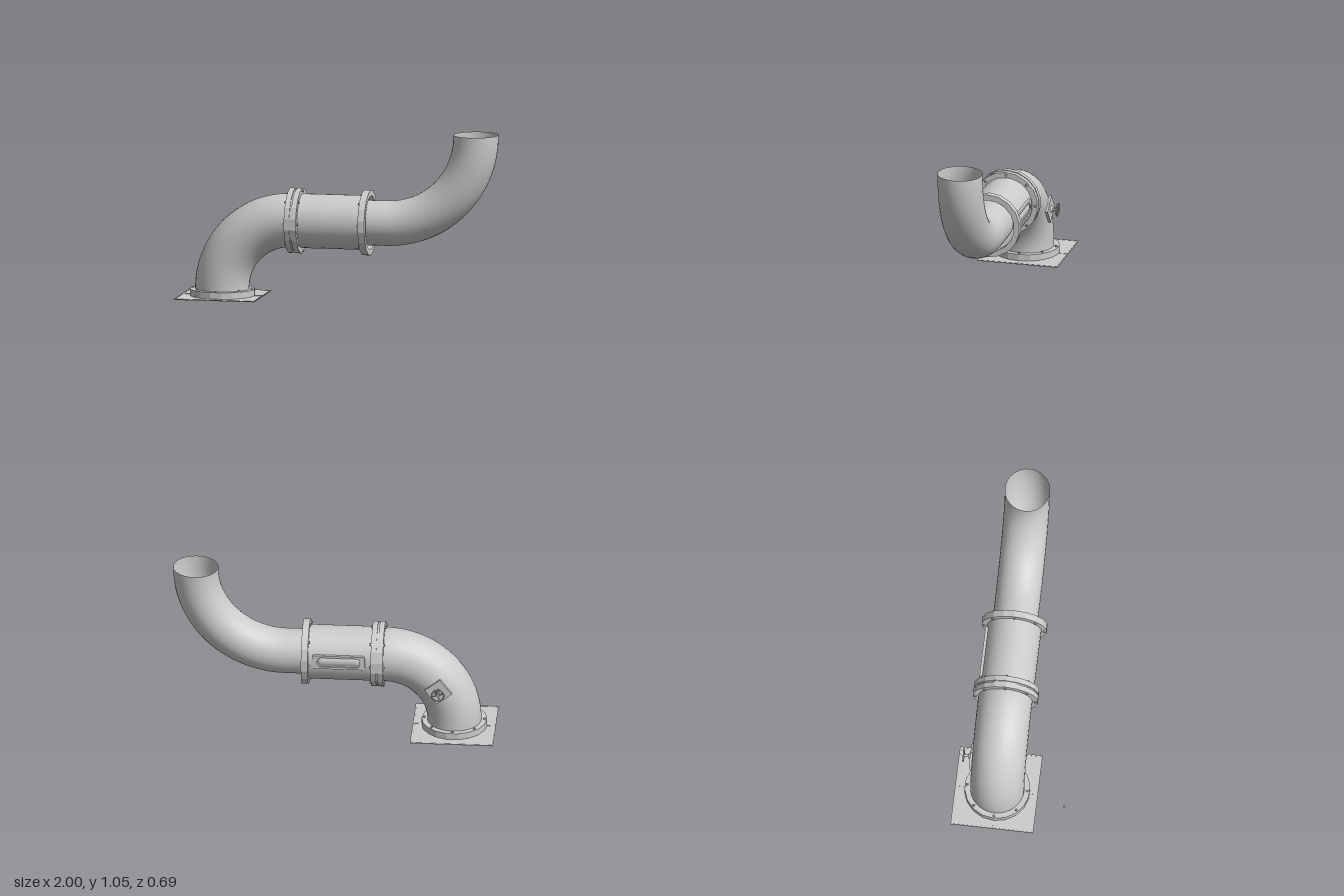
import * as THREE from 'three';

const Z = -0.087;              // depth of the pipe axis
const AXIS_Y = 0.482;          // height of the horizontal run
const BASE_X = -0.743;         // centre of the base
const smooth = new THREE.MeshStandardMaterial({ color: 0xcccccc, side: THREE.DoubleSide });
const flat = new THREE.MeshStandardMaterial({ color: 0xcccccc, flatShading: true });

function add(parent, name, geometry, material, x = 0, y = 0, z = 0) {
  const mesh = new THREE.Mesh(geometry, material);
  mesh.name = name;
  mesh.position.set(x, y, z);
  parent.add(mesh);
  return mesh;
}

// Open straight pipe running along +y from its origin
function straight(radius, length) {
  return new THREE.CylinderGeometry(radius, radius, length, 32, 1, true).translate(0, length / 2, 0);
}

function bend(parent, name, bendRadius, radius, x, y, turn) {
  const geometry = new THREE.TorusGeometry(bendRadius, radius, 32, 28, Math.PI / 2);
  add(parent, name, geometry, smooth, x, y, Z).rotation.z = turn;
}

// Ring of rectangular section with eight bolts, built along +y
function flange(name, outer, inner, height, boltSides) {
  const group = new THREE.Group();
  group.name = name;
  const profile = [[inner, 0], [outer, 0], [outer, height], [inner, height], [inner, 0]]
    .map(([r, y]) => new THREE.Vector2(r, y));
  add(group, 'flangeRing', new THREE.LatheGeometry(profile, 18, Math.PI / 2), flat);
  for (let i = 0; i < 8; i++) {
    const a = i * Math.PI / 4;
    for (const side of boltSides) {
      const y = side > 0 ? height + 0.004 : -0.004;
      add(group, 'bolt', boltGeometry(side), flat, 0.187 * Math.cos(a), y, 0.187 * Math.sin(a));
    }
  }
  return group;
}

// Hexagonal head, narrower at its outer end
function boltGeometry(side) {
  return new THREE.CylinderGeometry(side > 0 ? 0.006 : 0.009, side > 0 ? 0.009 : 0.006, 0.011, 6);
}

function roundedRect(w, h, r) {
  const s = new THREE.Shape();
  s.absarc(w / 2 - r, h / 2 - r, r, 0, Math.PI / 2);
  s.absarc(r - w / 2, h / 2 - r, r, Math.PI / 2, Math.PI);
  s.absarc(r - w / 2, r - h / 2, r, Math.PI, Math.PI * 1.5);
  s.absarc(w / 2 - r, r - h / 2, r, Math.PI * 1.5, Math.PI * 2);
  s.closePath();
  return s;
}

function buildBase(model) {
  const base = new THREE.Group();
  base.name = 'base';
  base.position.set(BASE_X, 0, Z);
  model.add(base);

  // Floor plate with a round opening
  const shape = roundedRect(0.514, 0.514, 0.002);
  shape.holes.push(new THREE.Path().absarc(0, 0, 0.197, 0, Math.PI * 2, true));
  const plate = new THREE.ExtrudeGeometry(shape, { depth: 0.004, bevelEnabled: false, curveSegments: 18 });
  add(base, 'floorPlate', plate.rotateX(-Math.PI / 2), flat, 0, 0, -0.005);

  // Raised seams from the flange to the plate edges, and a rim
  for (let i = 0; i < 4; i++) {
    const arm = new THREE.Group();
    arm.name = 'plateTrim';
    arm.position.z = -0.005;
    arm.rotation.y = i * Math.PI / 2;
    add(arm, 'seam', new THREE.BoxGeometry(0.052, 0.002, 0.008), flat, 0.226, 0.005, 0);
    add(arm, 'rim', new THREE.BoxGeometry(0.006, 0.002, 0.5), flat, 0.25, 0.0045, 0);
    base.add(arm);
  }
  base.add(flange('baseFlange', 0.203, 0.168, 0.045, [1]));
  add(base, 'riser', straight(0.168, 0.052), smooth);
}

function buildValve(model) {
  const valve = new THREE.Group();
  valve.name = 'valve';
  valve.position.set(-0.655, 0.32, Z - 0.168);
  valve.rotation.set(0, Math.PI, 0);   // local +z points out of the back
  model.add(valve);
  add(valve, 'valvePlate', new THREE.BoxGeometry(0.12, 0.12, 0.016), flat, 0, 0, 0.002).rotation.z = 0.67;
  const rod = (r1, r2, len) => new THREE.CylinderGeometry(r1, r2, len, 12).rotateX(Math.PI / 2);
  add(valve, 'valveCollar', rod(0.014, 0.024, 0.014), smooth, 0, 0, 0.016);
  add(valve, 'valveStem', rod(0.007, 0.007, 0.05), smooth, 0, 0, 0.03);
  add(valve, 'valveHub', rod(0.011, 0.011, 0.012), smooth, 0, 0, 0.046);
  add(valve, 'handwheel', new THREE.TorusGeometry(0.038, 0.0045, 8, 20), smooth, 0, 0, 0.052);
  for (let i = 0; i < 4; i++) {
    const spoke = add(valve, 'spoke', new THREE.BoxGeometry(0.038, 0.006, 0.005).translate(0.019, 0, 0), flat, 0, 0, 0.05);
    spoke.rotation.z = i * Math.PI / 2 + 0.3;
  }
}

function buildWindow(model) {
  // Framed panel with a long rounded insert on the back of the middle section
  const frame = roundedRect(0.325, 0.09, 0.014);
  frame.holes.push(roundedRect(0.27, 0.062, 0.03));
  const geometry = new THREE.ExtrudeGeometry(frame, { depth: 0.03, bevelEnabled: false, curveSegments: 6 });
  add(model, 'windowFrame', geometry, flat, -0.037, 0.5, -0.261);
  const insert = new THREE.CapsuleGeometry(0.031, 0.21, 6, 16).rotateZ(Math.PI / 2).scale(1, 1, 0.65);
  add(model, 'windowInsert', insert, smooth, -0.037, 0.5, -0.242);
}

export function createModel() {
  const model = new THREE.Group();
  model.name = 'pipe';
  buildBase(model);

  // Wide elbow and middle section
  bend(model, 'lowerElbow', 0.43, 0.168, -0.313, 0.052, Math.PI / 2);
  add(model, 'middlePipe', straight(0.169, 0.5), smooth, -0.313, AXIS_Y, Z).rotation.z = -Math.PI / 2;

  // Narrow pipe sweeping upward
  add(model, 'upperPipe', straight(0.14, 0.2), smooth, 0.1, AXIS_Y, Z).rotation.z = -Math.PI / 2;
  bend(model, 'upperElbow', 0.56, 0.14, 0.3, AXIS_Y + 0.56, -Math.PI / 2);
  add(model, 'outlet', straight(0.14, 0.008), smooth, 0.86, AXIS_Y + 0.56, Z);

  // Flanges around the middle section: start x, width, bolted sides
  for (const [x, width, sides] of [[-0.313, 0.033, [-1]], [-0.27, 0.033, [1]], [0.153, 0.042, [-1]]]) {
    const ring = flange('pipeFlange', 0.204, 0.168, width, sides);
    ring.position.set(x, AXIS_Y, Z);
    ring.rotation.z = -Math.PI / 2;
    model.add(ring);
  }
  // Gasket between the paired flanges
  const gasket = flange('gasket', 0.196, 0.168, 0.012, []);
  gasket.position.set(-0.281, AXIS_Y, Z);
  gasket.rotation.z = -Math.PI / 2;
  model.add(gasket);

  buildWindow(model);
  buildValve(model);

  // Single bolt lying apart from the assembly
  add(model, 'looseBolt', new THREE.CylinderGeometry(0.006, 0.008, 0.007, 6), flat, -0.82, 0.053, 0.338);
  return model;
}
